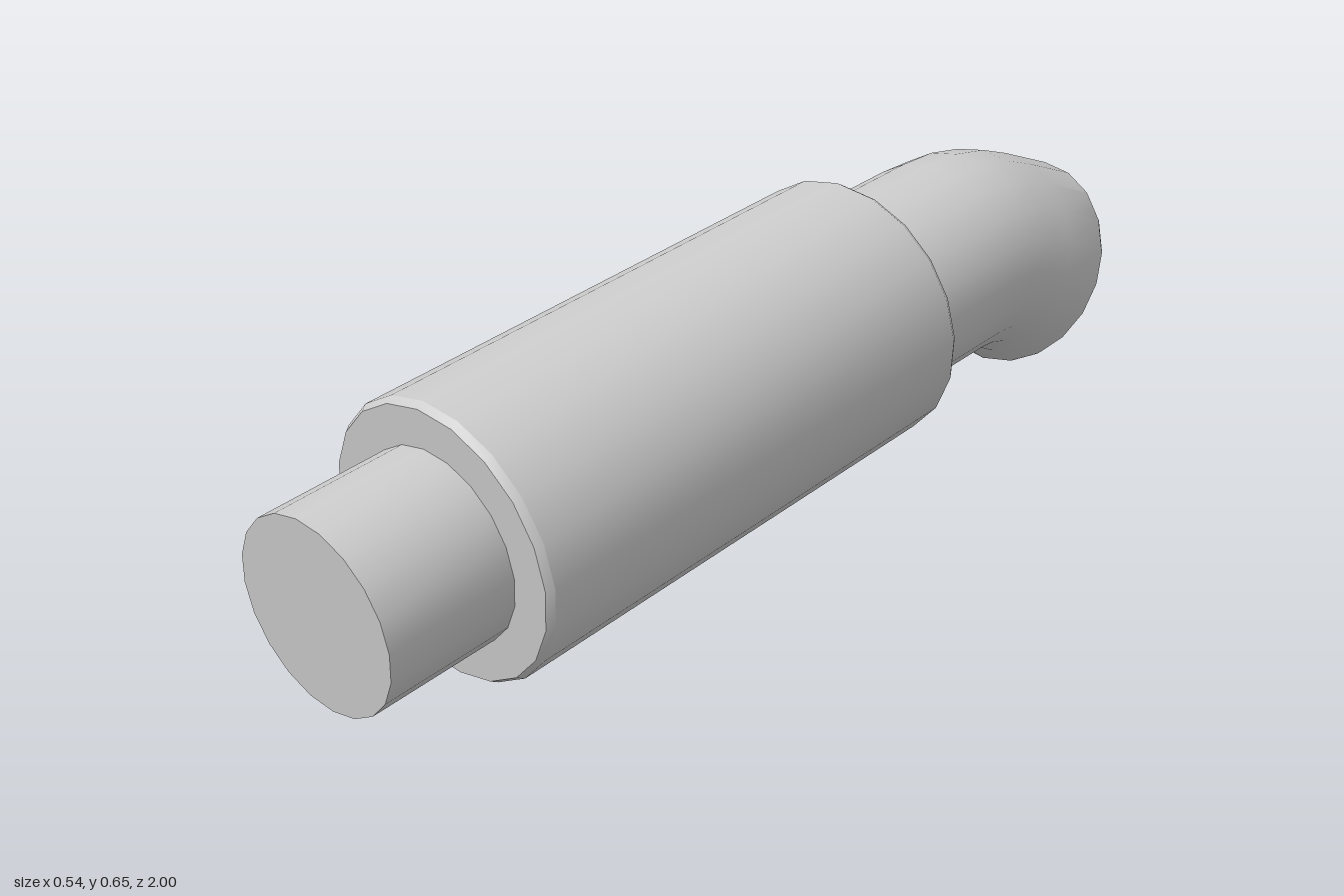
import * as THREE from 'three';
import { toCreasedNormals } from 'three/addons/utils/BufferGeometryUtils.js';

const SIDES = 20;
const CREASE = 0.56;
const TILT = 0.122; // rise of the main axis towards the back

const material = new THREE.MeshStandardMaterial({ color: 0xcccccc });

function part(name, geometry) {
  const mesh = new THREE.Mesh(toCreasedNormals(geometry, CREASE), material);
  mesh.name = name;
  return mesh;
}

// Turned part along the tilted axis; profile is [radius, distance towards the back]
function turned(name, profile, y, z) {
  const geometry = new THREE.LatheGeometry(profile.map(([r, d]) => new THREE.Vector2(r, d)), SIDES);
  const mesh = part(name, geometry);
  mesh.rotation.x = TILT - Math.PI / 2;
  mesh.position.set(0, y, z);
  return mesh;
}

// Skin through rings given as { top: [z, y], bottom: [z, y], half width, scale }
function loft(rings) {
  const positions = [], index = [];
  for (const { top, bottom, r, scale } of rings) {
    const cz = (top[0] + bottom[0]) / 2, cy = (top[1] + bottom[1]) / 2;
    for (let i = 0; i < SIDES; i++) {
      const a = (i / SIDES) * Math.PI * 2, c = Math.cos(a) * scale;
      positions.push(Math.sin(a) * r * scale, cy + (top[1] - cy) * c, cz + (top[0] - cz) * c);
    }
  }
  for (let s = 0; s < rings.length - 1; s++) {
    for (let i = 0; i < SIDES; i++) {
      const j = (i + 1) % SIDES, p = s * SIDES, q = p + SIDES;
      index.push(p + i, p + j, q + i, p + j, q + j, q + i);
    }
  }
  const geometry = new THREE.BufferGeometry();
  geometry.setAttribute('position', new THREE.Float32BufferAttribute(positions, 3));
  geometry.setIndex(index);
  return geometry;
}

export function createModel() {
  const model = new THREE.Group();
  model.name = 'exhaustMuffler';

  // Main canister with small chamfers at both ends
  model.add(turned('canister', [
    [0, 0], [0.256, 0], [0.265, 0.014], [0.265, 1.061], [0.256, 1.075], [0, 1.075],
  ], 0.265, 0.715));

  // Closed inlet stub
  model.add(turned('inletPipe', [[0, 0], [0.183, 0], [0.183, 0.32]], 0.232, 0.978));

  // Hollow outlet pipe bending down: out along the outside, back along the inside
  const sections = [
    { top: [-0.275, 0.592], bottom: [-0.325, 0.186], r: 0.203 },
    { top: [-0.59, 0.628], bottom: [-0.64, 0.222], r: 0.203 },
    { top: [-0.68, 0.632], bottom: [-0.668, 0.222], r: 0.204 },
    { top: [-0.77, 0.621], bottom: [-0.702, 0.214], r: 0.205 },
    { top: [-0.85, 0.597], bottom: [-0.745, 0.195], r: 0.206 },
    { top: [-0.995, 0.545], bottom: [-0.803, 0.155], r: 0.207 },
    { top: [-1.0, 0.537], bottom: [-0.812, 0.152], r: 0.205 },
  ];
  const outside = sections.map((s) => ({ ...s, scale: 1 }));
  const inside = sections.map((s) => ({ ...s, scale: 0.93 })).reverse();
  const innerEnd = { ...sections[0], scale: 0 };
  model.add(part('outletPipe', loft([...outside, ...inside, innerEnd])));

  model.rotation.y = 0.005;
  return model;
}
